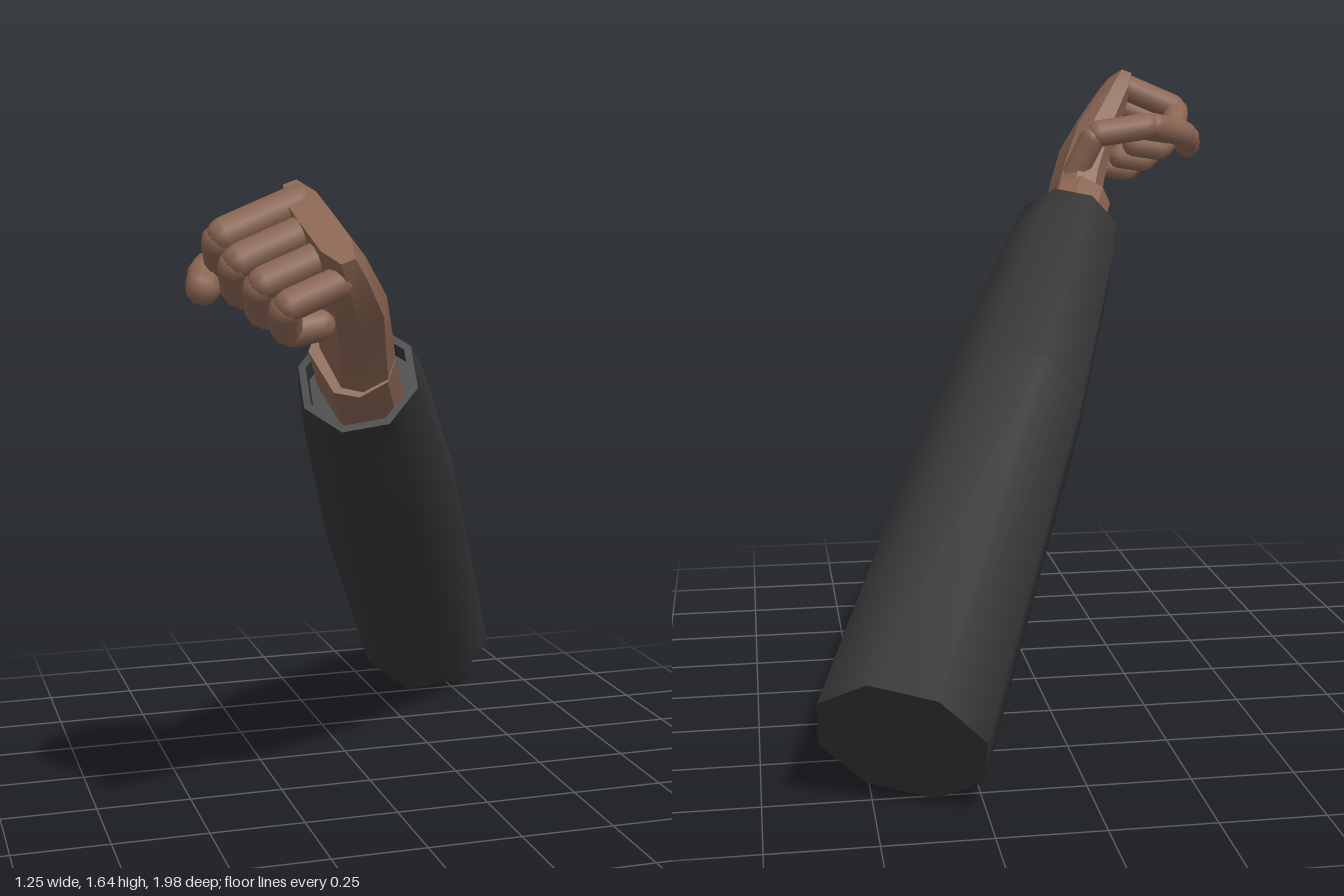
import * as THREE from 'three';
import { toCreasedNormals } from 'three/addons/utils/BufferGeometryUtils.js';

const V = (x, y, z) => new THREE.Vector3(x, y, z);

// Skin over cross-sections [centre, halfU, halfV]; profile is a unit loop in (u, v), u x v = loft direction
function loft(sections, profile, u, v, crease) {
  const n = profile.length, pos = [], idx = [];
  for (const [c, hu, hv] of sections)
    for (const [a, b] of profile)
      pos.push(...c.clone().addScaledVector(u, a * hu).addScaledVector(v, b * hv).toArray());
  for (let i = 0; i < sections.length - 1; i++)
    for (let j = 0; j < n; j++) {
      const a = i * n + j, b = i * n + (j + 1) % n;
      idx.push(a, b, b + n, a, b + n, a + n);
    }
  const last = (sections.length - 1) * n;
  for (let j = 1; j < n - 1; j++) idx.push(0, j + 1, j, last, last + j, last + j + 1);
  const g = new THREE.BufferGeometry();
  g.setAttribute('position', new THREE.Float32BufferAttribute(pos, 3));
  g.setIndex(idx);
  return toCreasedNormals(g, crease);
}

export function createModel() {
  const group = new THREE.Group();
  const skin = new THREE.MeshStandardMaterial({ color: 0x8a6552 });
  skin.name = 'skin';
  const cloth = new THREE.MeshStandardMaterial({ color: 0x363636 });
  cloth.name = 'sleeveCloth';

  const add = (name, geometry, material, parent = group) => {
    const mesh = new THREE.Mesh(geometry, material);
    mesh.name = name;
    parent.add(mesh);
    return mesh;
  };

  // Arm axis and its cross-section frame
  const start = V(0.44, 0.172, -0.855), end = V(-0.19, 1.187, 0.53);
  const d = end.clone().sub(start).normalize();
  const u = V(0, 1, 0).cross(d).normalize();
  const v = d.clone().cross(u);
  const along = (t) => start.clone().lerp(end, t);
  const octagon = Array.from({ length: 8 }, (_, i) => {
    const a = (i * 45 - 10) * Math.PI / 180;
    return [Math.cos(a), Math.sin(a)];
  });

  // Tapered sleeve with a recessed cuff opening
  const sleeveRings = [[0, 0.21], [0.6, 0.197], [0.93, 0.163], [1, 0.144], [1, 0.126], [0.965, 0.126]];
  add('sleeve', loft(sleeveRings.map(([t, r]) => [along(t), r, r]), octagon, u, v, 0.85), cloth);

  // Hand frame: a runs wrist to knuckles, r runs index to little finger, n points out of the back of the hand
  const a = V(-0.27, 0.78, 0.57).normalize();
  const n = a.clone().cross(V(0.22, -0.57, 0.79)).normalize();
  const r = n.clone().cross(a);
  const bevelled = [[1, -0.45], [1, 0.45], [0.6, 1], [-0.6, 1], [-1, 0.45], [-1, -0.45], [-0.6, -1], [0.6, -1]];

  add('wrist', loft([
    [along(0.92), 0.105, 0.085],
    [along(1.06), 0.102, 0.08],
  ], bevelled, r.clone().addScaledVector(d, -r.dot(d)).normalize(),
  d.clone().cross(r).normalize(), 0.4), skin);

  add('palm', loft([
    [V(-0.205, 1.22, 0.59), 0.09, 0.07],
    [V(-0.235, 1.31, 0.66), 0.1, 0.065],
    [V(-0.285, 1.42, 0.76), 0.135, 0.06],
    [V(-0.35, 1.52, 0.84), 0.152, 0.048],
    [V(-0.375, 1.56, 0.872), 0.145, 0.035],
  ], bevelled, r, n, 0.4), skin);

  // A digit is a chain of rounded segments through its joints
  const digit = (name, joints, radius) => {
    const g = new THREE.Group();
    g.name = name;
    group.add(g);
    for (let i = 0; i < joints.length - 1; i++) {
      const dir = joints[i + 1].clone().sub(joints[i]);
      const len = dir.length();
      const m = add(name + 'Segment' + (i + 1), new THREE.CapsuleGeometry(radius, Math.max(len - radius * 0.7, 0.02), 3, 10), skin, g);
      m.position.copy(joints[i]).addScaledVector(dir, 0.5);
      m.quaternion.setFromUnitVectors(V(0, 1, 0), dir.normalize());
    }
  };

  // Four fingers curled into a fist
  const f = V(-0.92, -0.38, 0).normalize();
  const fold = V(0.25, -0.66, -0.7).normalize();
  const back = V(0.95, 0.15, -0.15).normalize();
  [['indexFinger', 0.2, 0.1], ['middleFinger', 0.192, 0.105], ['ringFinger', 0.165, 0.1], ['littleFinger', 0.135, 0.085]]
    .forEach(([name, l1, l2], i) => {
      const k = V(-0.38 + 0.013 * i, 1.6 - 0.053 * i, 0.775 + 0.055 * i);
      const p = k.clone().addScaledVector(f, l1);
      const q = p.clone().addScaledVector(fold, l2);
      const tip = q.clone().addScaledVector(back, l2);
      digit(name, [k, p, q, tip], 0.039 - 0.0015 * i);
    });

  // Thumb wrapped across the palm side
  digit('thumb', [V(-0.21, 1.32, 0.61), V(-0.27, 1.455, 0.572), V(-0.44, 1.48, 0.57),
    V(-0.57, 1.45, 0.665), V(-0.592, 1.41, 0.735)], 0.039);

  return group;
}
